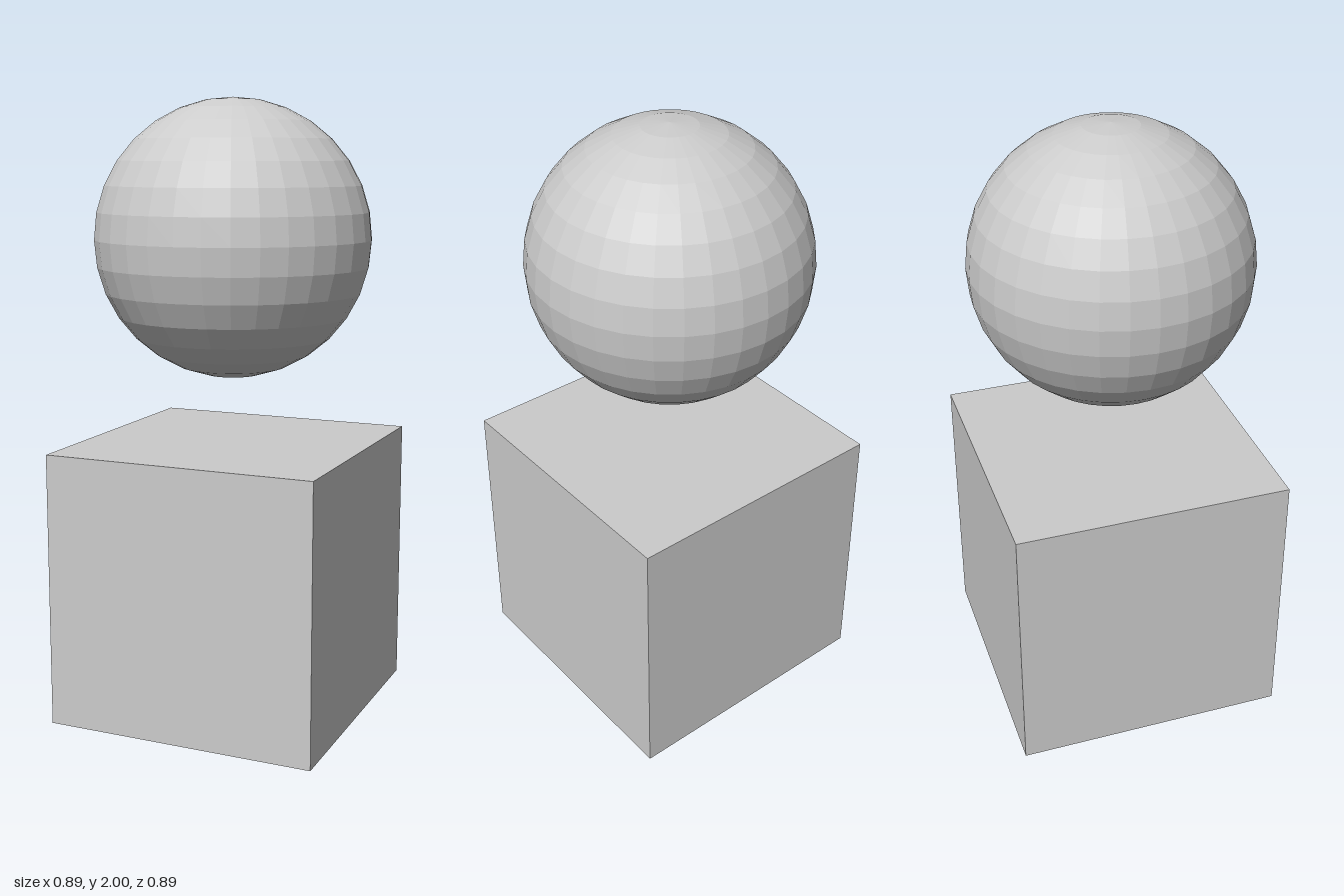
import * as THREE from 'three';

const SIZE = 0.893; // shared width of the cube and the ball

export function createModel() {
  const group = new THREE.Group();
  const material = new THREE.MeshStandardMaterial({ color: 0xcccccc, flatShading: true });

  const add = (name, geometry, y) => {
    const mesh = new THREE.Mesh(geometry, material);
    mesh.name = name;
    mesh.position.y = y;
    group.add(mesh);
  };

  // Cube standing on the ground
  add('cube', new THREE.BoxGeometry(SIZE, SIZE, SIZE), SIZE / 2);

  // Faceted ball floating above the cube
  add('ball', new THREE.SphereGeometry(SIZE / 2, 32, 16), 2 - SIZE / 2);

  return group;
}
